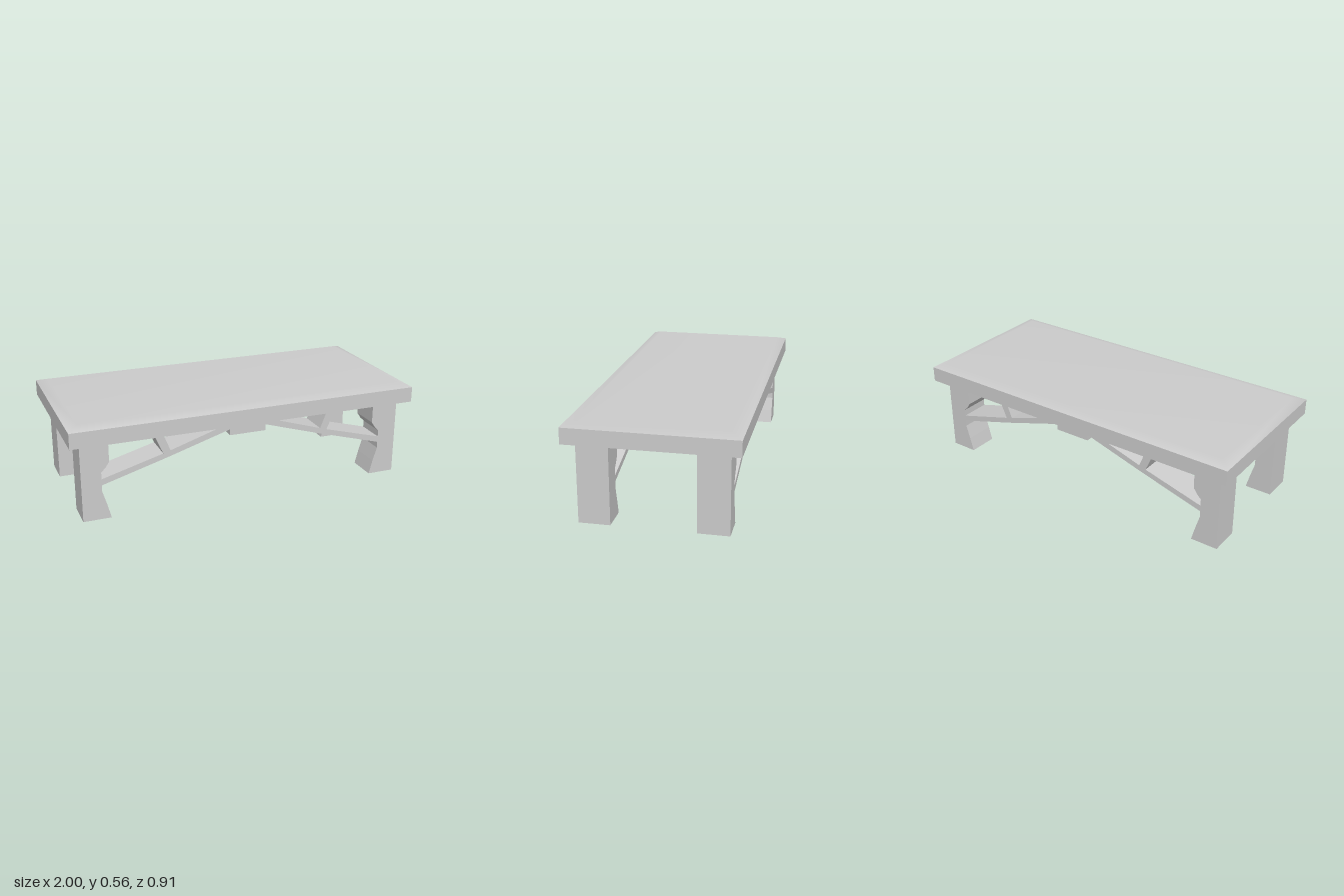
import * as THREE from 'three';

const LEG_Z = 0.31, LEG_DEPTH = 0.17, UNDERSIDE = 0.447;

const grey = new THREE.MeshStandardMaterial({ color: 0xcccccc });
const greyOpen = new THREE.MeshStandardMaterial({ color: 0xcccccc, side: THREE.DoubleSide });

// Front outlines of the parts on the +x side
const LEG = [[0.94, 0], [0.94, UNDERSIDE], [0.785, UNDERSIDE], [0.785, 0.325], [0.805, 0.295],
  [0.83, 0.27], [0.83, 0.16], [0.806, 0.08], [0.785, 0]];
const BEAM = [[0.835, 0.195], [0.835, 0.23], [0.48, 0.328], [0.105, UNDERSIDE], [0, UNDERSIDE],
  [0, 0.41], [0.105, 0.41], [0.46, 0.302]];
const STRUT = [[0.54, UNDERSIDE], [0.49, UNDERSIDE], [0.445, 0.333], [0.485, 0.32]];

// Extrudes an outline along z, centred on z = 0; side = -1 mirrors it in x
function slab(points, side) {
  const shape = new THREE.Shape(points.map(([x, y]) => new THREE.Vector2(x * side, y)));
  const geometry = new THREE.ExtrudeGeometry(shape, { depth: LEG_DEPTH, bevelEnabled: false });
  return geometry.translate(0, 0, -LEG_DEPTH / 2);
}

// Removes the triangles lying on the ground, leaving the leg hollow underneath
function openBottom(geometry) {
  const p = geometry.attributes.position;
  const kept = [];
  for (let i = 0; i < p.count; i += 3) {
    if (Math.max(p.getY(i), p.getY(i + 1), p.getY(i + 2)) > 1e-4) kept.push(i, i + 1, i + 2);
  }
  geometry.setIndex(kept);
  geometry.clearGroups();
  return geometry;
}

function addMesh(parent, name, geometry, material = grey) {
  const mesh = new THREE.Mesh(geometry, material);
  mesh.name = name;
  parent.add(mesh);
  return mesh;
}

// Softly shaded bevel around the flat top: outer ring, then inner ring
function bevelledCap() {
  const positions = [], index = [];
  for (const [x, y, z] of [[1, 0.535, 0.455], [0.94, 0.555, 0.397]]) {
    positions.push(-x, y, z, x, y, z, x, y, -z, -x, y, -z);
  }
  for (let i = 0; i < 4; i++) {
    const j = (i + 1) % 4;
    index.push(i, j, j + 4, i, j + 4, i + 4);
  }
  index.push(4, 5, 6, 4, 6, 7);
  const geometry = new THREE.BufferGeometry();
  geometry.setAttribute('position', new THREE.Float32BufferAttribute(positions, 3));
  geometry.setIndex(index);
  geometry.computeVertexNormals();
  return geometry;
}

export function createModel() {
  const table = new THREE.Group();
  table.name = 'table';

  // Tabletop
  const top = new THREE.Group();
  top.name = 'tabletop';
  table.add(top);
  addMesh(top, 'tabletopSlab', new THREE.BoxGeometry(2, 0.535 - UNDERSIDE, 0.91))
    .position.y = (0.535 + UNDERSIDE) / 2;
  addMesh(top, 'tabletopBevel', bevelledCap());

  // Front and back trestles: two legs joined by an arched brace
  for (const end of [1, -1]) {
    const trestle = new THREE.Group();
    trestle.name = end > 0 ? 'frontTrestle' : 'backTrestle';
    trestle.position.z = end * LEG_Z;
    table.add(trestle);

    for (const side of [1, -1]) {
      const hand = side > 0 ? 'left' : 'right';
      addMesh(trestle, `${hand}Leg`, openBottom(slab(LEG, side)), greyOpen);
      addMesh(trestle, `${hand}ArchBeam`, slab(BEAM, side));
      addMesh(trestle, `${hand}Strut`, slab(STRUT, side));
    }

    // Block at the crown of the arch
    addMesh(trestle, 'centreBlock', new THREE.BoxGeometry(0.21, 0.07, LEG_DEPTH + 0.004))
      .position.y = 0.411;
  }
  return table;
}
